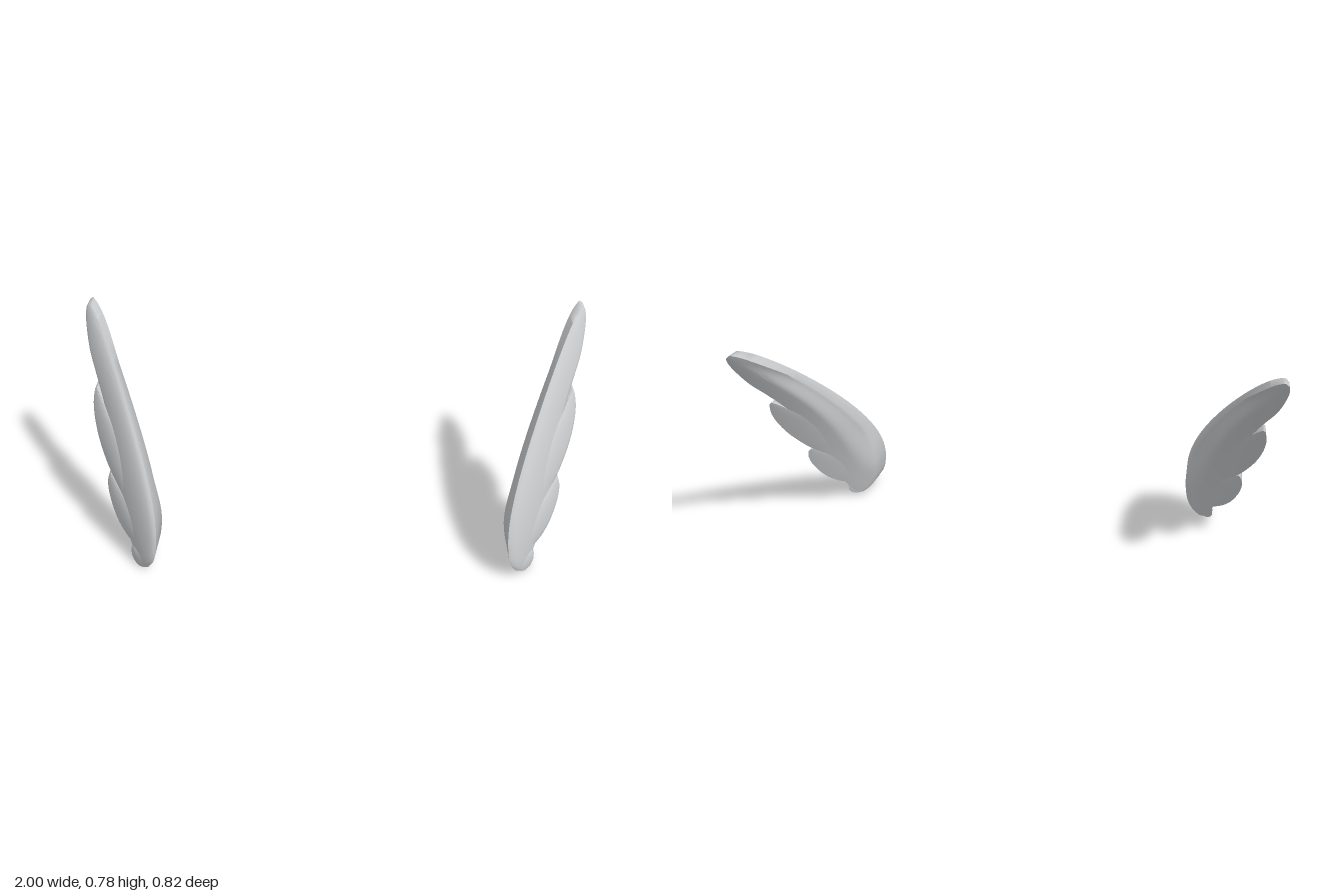
import * as THREE from 'three';
import { toCreasedNormals } from 'three/addons/utils/BufferGeometryUtils.js';

const ACROSS = 14, ALONG = 40;
const smooth = THREE.MathUtils.smoothstep;

// Swept-back front surface shared by every feather
const frontZ = (x, y) => 0.425 - 1.02 * (x - 0.655) - 0.256 * (y - 0.05) - 0.4 * y * y;
const depthAt = (x) => 0.157 - 0.27 * (x - 0.655);
// The leading edge thins out between the root and the tip
const edgeThinning = (y, u) =>
  1 - 0.4 * smooth(y, 0.1, 0.32) * (1 - smooth(y, 0.6, 0.76)) * (1 - smooth(u, 0, 0.45));

// Each row is leading edge x, y and trailing edge x, y, from root to tip
const FEATHERS = {
  longFeather: {
    thinEdge: true,
    rows: [
      [0.715, 0.012, 0.73, 0.012], [0.687, 0.032, 0.758, 0.05], [0.667, 0.065, 0.775, 0.085],
      [0.657, 0.12, 0.795, 0.13], [0.655, 0.16, 0.81, 0.18], [0.66, 0.22, 0.828, 0.25],
      [0.68, 0.30, 0.848, 0.33], [0.715, 0.39, 0.867, 0.41], [0.765, 0.49, 0.893, 0.49],
      [0.83, 0.60, 0.935, 0.57], [0.90, 0.70, 0.971, 0.635], [0.95, 0.757, 0.992, 0.70],
      [0.975, 0.775, 1.0, 0.745], [0.985, 0.779, 0.998, 0.767],
    ],
  },
  middleFeather: {
    rows: [
      [0.74, 0.16, 0.79, 0.15], [0.75, 0.24, 0.83, 0.24], [0.77, 0.31, 0.88, 0.305],
      [0.80, 0.38, 0.918, 0.37], [0.84, 0.44, 0.939, 0.43], [0.885, 0.482, 0.946, 0.475],
      [0.915, 0.515, 0.944, 0.505], [0.932, 0.53, 0.94, 0.525],
    ],
  },
  shortFeather: {
    rows: [
      [0.70, 0.08, 0.735, 0.068], [0.715, 0.13, 0.785, 0.085], [0.74, 0.18, 0.828, 0.12],
      [0.775, 0.22, 0.856, 0.165], [0.82, 0.247, 0.871, 0.205], [0.845, 0.264, 0.875, 0.24],
      [0.86, 0.273, 0.87, 0.262],
    ],
  },
  rootKnob: {
    depth: 0.105,
    rows: [
      [0.69, 0.065, 0.69, 0.025], [0.71, 0.073, 0.71, 0.01], [0.735, 0.073, 0.737, 0],
      [0.757, 0.068, 0.758, 0.008], [0.769, 0.05, 0.769, 0.025],
    ],
  },
};

// Domed feather lofted between its two edges; side is 1 or -1 for mirroring
function featherGeometry({ rows, depth, thinEdge }, side) {
  const lead = new THREE.CatmullRomCurve3(rows.map((r) => new THREE.Vector3(r[0], r[1], 0)));
  const trail = new THREE.CatmullRomCurve3(rows.map((r) => new THREE.Vector3(r[2], r[3], 0)));
  const ring = 2 * (ACROSS + 1);
  const pos = [], index = [];
  for (let j = 0; j <= ALONG; j++) {
    const a = lead.getPoint(j / ALONG), b = trail.getPoint(j / ALONG);
    const width = a.distanceTo(b);
    // Front goes from leading to trailing edge, then the back returns
    for (let k = 0; k < ring; k++) {
      const back = k > ACROSS;
      const u = (back ? ring - 1 - k : k) / ACROSS;
      const p = a.clone().lerp(b, u);
      const v = u ** 0.75;
      const dome = 4 * v * (1 - v) * width;
      const thick = (depth ?? depthAt(p.x)) * (thinEdge ? edgeThinning(p.y, u) : 1);
      const z = frontZ(p.x, p.y) + (back ? -thick - 0.04 * dome : 0.15 * dome);
      pos.push(p.x * side, Math.max(p.y, 0), z);
    }
  }
  const quad = (a, b, c, d) =>
    side > 0 ? index.push(a, b, c, a, c, d) : index.push(a, c, b, a, d, c);
  for (let j = 0; j < ALONG; j++) {
    for (let k = 0; k < ring; k++) {
      const n = (k + 1) % ring, r = j * ring, s = r + ring;
      quad(r + k, r + n, s + n, s + k);
    }
  }
  // Root and tip caps
  const last = ALONG * ring;
  for (let k = 0; k < ACROSS; k++) {
    const m = ring - 1 - k;
    quad(k, m, m - 1, k + 1);
    quad(last + k, last + k + 1, last + m - 1, last + m);
  }
  const geometry = new THREE.BufferGeometry();
  geometry.setAttribute('position', new THREE.Float32BufferAttribute(pos, 3));
  geometry.setIndex(index);
  return toCreasedNormals(geometry, 1.1);
}

export function createModel() {
  const model = new THREE.Group();
  model.name = 'wingPair';
  const grey = new THREE.MeshStandardMaterial({ color: 0xc6c8ca });
  grey.name = 'lightGrey';

  for (const side of [1, -1]) {
    const wing = new THREE.Group();
    wing.name = side > 0 ? 'leftWing' : 'rightWing';
    for (const [name, feather] of Object.entries(FEATHERS)) {
      const mesh = new THREE.Mesh(featherGeometry(feather, side), grey);
      mesh.name = name;
      wing.add(mesh);
    }
    model.add(wing);
  }
  return model;
}
